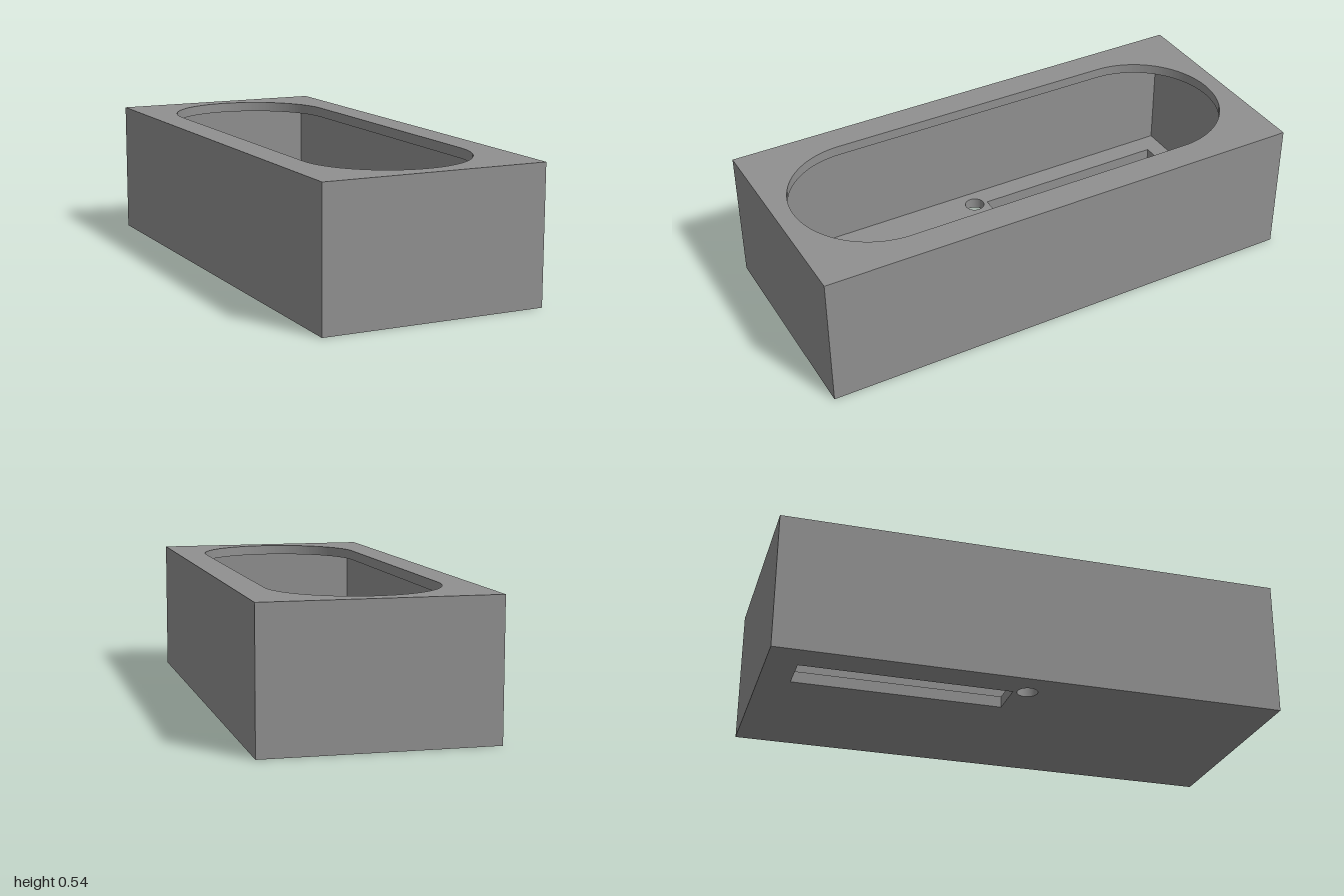
import * as THREE from 'three';

const W = 0.447, L = 1, H = 0.54;      // half width, half length, height
const WALL = 0.045, FLOOR = 0.045, RIM = 0.04;

// Rectangle outline in plan; shape y is -z
function rect(Type, x0, x1, z0, z1) {
  const p = new Type();
  p.moveTo(x0, -z1);
  p.lineTo(x1, -z1);
  p.lineTo(x1, -z0);
  p.lineTo(x0, -z0);
  p.closePath();
  return p;
}

// Horizontal slab with holes, from height y0 to y1
function slab(name, holes, y0, y1, material) {
  const shape = rect(THREE.Shape, -W, W, -L, L);
  shape.holes.push(...holes);
  const geometry = new THREE.ExtrudeGeometry(shape, {
    depth: y1 - y0, bevelEnabled: false, curveSegments: 32,
  });
  geometry.rotateX(-Math.PI / 2).translate(0, y0, 0);
  const mesh = new THREE.Mesh(geometry, material);
  mesh.name = name;
  return mesh;
}

export function createModel() {
  const grey = new THREE.MeshStandardMaterial({ color: 0x909090 });
  grey.name = 'grey';
  const group = new THREE.Group();
  group.name = 'openTub';

  // Floor with a long slot and a round drain
  const slot = rect(THREE.Path, -0.315, -0.16, -0.88, -0.055);
  const drain = new THREE.Path();
  drain.absarc(-0.325, 0, 0.04, 0, Math.PI * 2);
  group.add(slab('floor', [slot, drain], 0, FLOOR, grey));

  // Four side walls around a rectangular cavity
  const cavity = rect(THREE.Path, -W + WALL, W - WALL, -L + WALL, L - WALL);
  group.add(slab('walls', [cavity], FLOOR, H - RIM, grey));

  // Top plate with a round-ended opening
  const r = 0.33, straight = 0.6;
  const opening = new THREE.Path();
  opening.absarc(0, straight, r, 0, Math.PI);
  opening.absarc(0, -straight, r, Math.PI, Math.PI * 2);
  opening.closePath();
  group.add(slab('rim', [opening], H - RIM, H, grey));

  return group;
}
